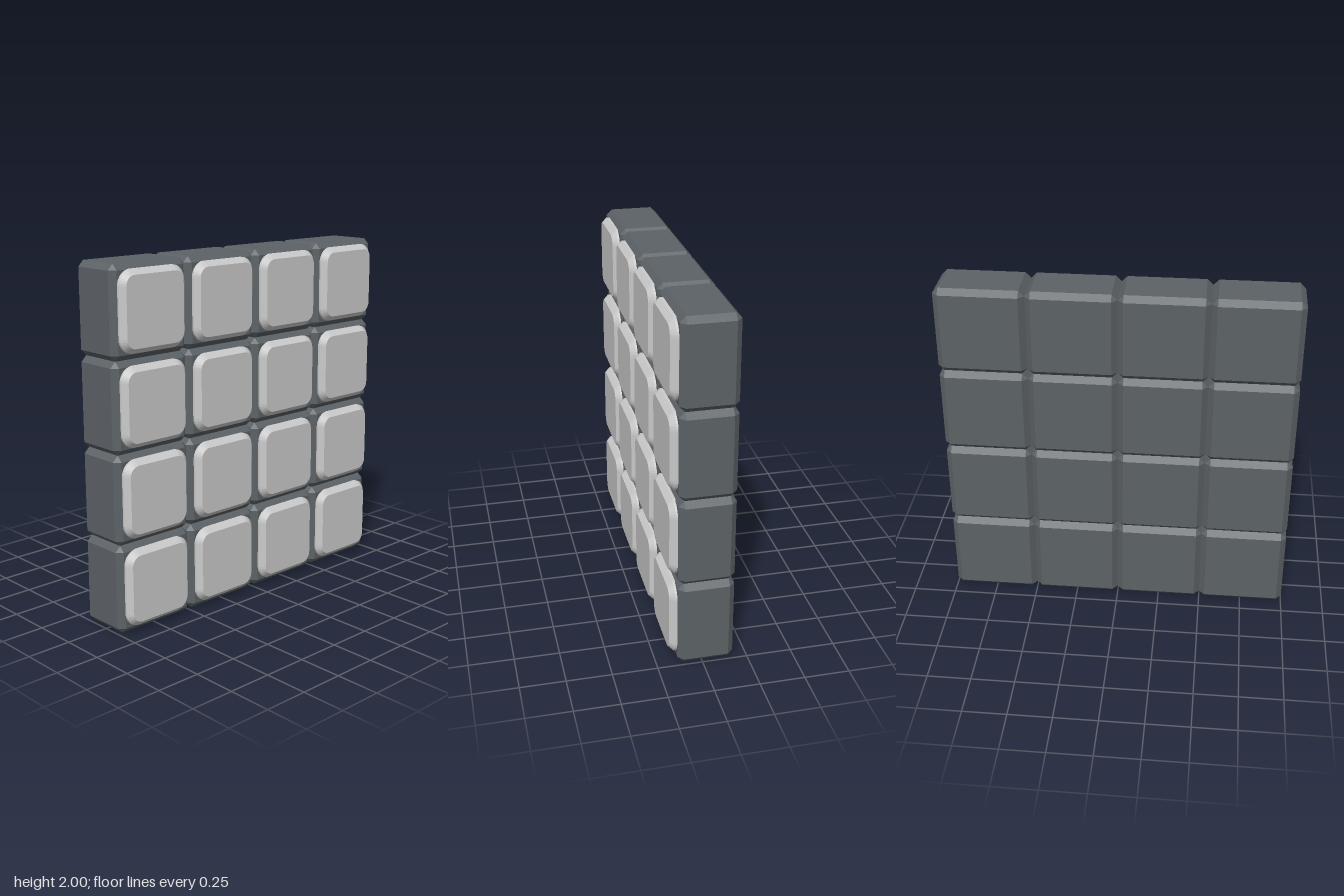
import * as THREE from 'three';
import { ConvexGeometry } from 'three/addons/geometries/ConvexGeometry.js';

const COUNT = 4, PITCH = 0.5;
const BACK = -0.175, BLOCK_FRONT = 0.135, TILE_FRONT = 0.175;

// Box with every edge chamfered and every corner cut to a triangle
function chamferedBox(w, h, d, c) {
  const points = [];
  for (const sx of [-1, 1]) for (const sy of [-1, 1]) for (const sz of [-1, 1]) {
    for (let axis = 0; axis < 3; axis++) {
      const half = [w / 2, h / 2, d / 2].map((v, i) => (i === axis ? v : v - c));
      points.push(new THREE.Vector3(sx * half[0], sy * half[1], sz * half[2]));
    }
  }
  return new ConvexGeometry(points);
}

function roundedSquare(half, r) {
  const s = new THREE.Shape(), k = half - r;
  s.absarc(k, k, r, 0, Math.PI / 2);
  s.absarc(-k, k, r, Math.PI / 2, Math.PI);
  s.absarc(-k, -k, r, Math.PI, Math.PI * 1.5);
  s.absarc(k, -k, r, Math.PI * 1.5, Math.PI * 2);
  return s;
}

export function createModel() {
  const model = new THREE.Group();
  model.name = 'tileGrid';
  const dark = new THREE.MeshStandardMaterial({ color: 0x5c6266, flatShading: true });
  const light = new THREE.MeshStandardMaterial({ color: 0xcccccc, flatShading: true });

  // Dark housing block
  const blockGeo = chamferedBox(PITCH, PITCH, BLOCK_FRONT - BACK, 0.032);
  blockGeo.translate(0, 0, (BLOCK_FRONT + BACK) / 2);

  // Pale tile running through the block, bevelled at both ends
  const bevel = 0.028, tileBack = BACK + 0.002;
  const tileGeo = new THREE.ExtrudeGeometry(roundedSquare(0.19, 0.055), {
    depth: TILE_FRONT - tileBack - 2 * bevel, curveSegments: 4,
    bevelEnabled: true, bevelSize: bevel, bevelThickness: bevel, bevelSegments: 1,
  });
  tileGeo.translate(0, 0, tileBack + bevel);

  for (let row = 0; row < COUNT; row++) {
    for (let col = 0; col < COUNT; col++) {
      const cell = new THREE.Group();
      cell.name = `cell_${row}_${col}`;
      const block = new THREE.Mesh(blockGeo, dark);
      block.name = 'block';
      const tile = new THREE.Mesh(tileGeo, light);
      tile.name = 'tile';
      tile.position.y = 0.004;
      cell.add(block, tile);
      cell.position.set((col - (COUNT - 1) / 2) * PITCH, (row + 0.5) * PITCH, 0);
      model.add(cell);
    }
  }
  return model;
}
